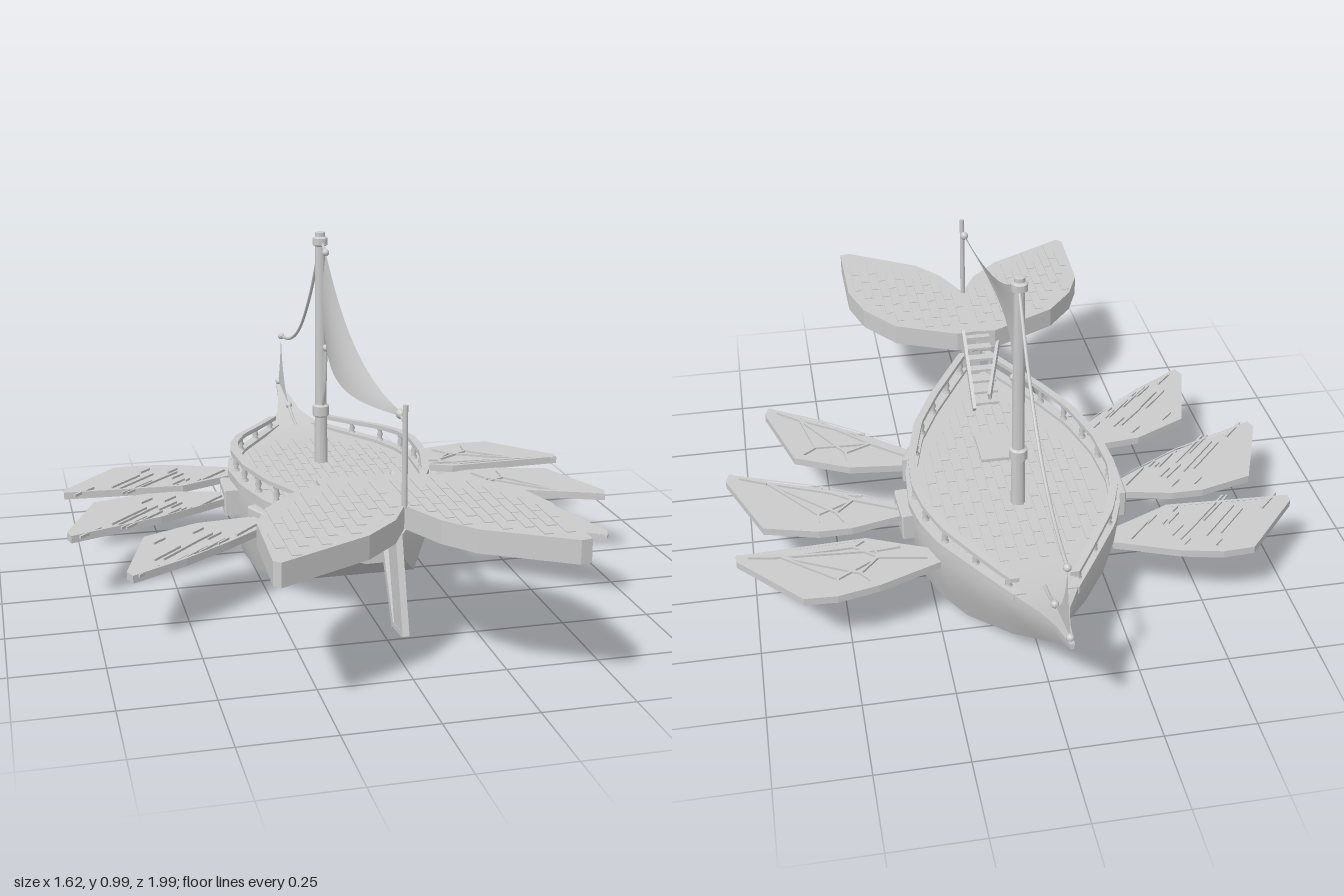
import * as THREE from 'three';
import { toCreasedNormals } from 'three/addons/utils/BufferGeometryUtils.js';

const grey = new THREE.MeshStandardMaterial({ color: 0xcccccc });
const cloth = new THREE.MeshStandardMaterial({ color: 0xcccccc, side: THREE.DoubleSide });
const V = (x, y, z) => new THREE.Vector3(x, y, z);

// Hull stations, stern to bow: z, half width, half width of the bottom, sheer height, keel height
const stations = [
  [0.44, 0.05, 0.045, 0.262, 0.2], [0.37, 0.09, 0.075, 0.262, 0.185], [0.2, 0.185, 0.15, 0.262, 0.085],
  [0.06, 0.25, 0.2, 0.262, 0.018], [-0.1, 0.29, 0.245, 0.262, 0], [-0.25, 0.3, 0.26, 0.262, 0],
  [-0.35, 0.283, 0.225, 0.262, 0], [-0.45, 0.245, 0.17, 0.262, 0.005], [-0.6, 0.15, 0.07, 0.262, 0.05],
  [-0.7, 0.085, 0.02, 0.268, 0.11], [-0.8, 0.04, 0.01, 0.29, 0.185], [-0.9, 0.018, 0.006, 0.325, 0.27],
  [-1, 0.006, 0.004, 0.35, 0.335]];

function halfWidth(z) {
  let i = 0;
  while (i < stations.length - 2 && stations[i + 1][0] > z) i++;
  const [a, b] = [stations[i], stations[i + 1]];
  return THREE.MathUtils.mapLinear(z, a[0], b[0], a[1], b[1]);
}

// Skin over rings that run anticlockwise and step towards -z, closed at both ends
function loft(rings, crease = 0.6) {
  const n = rings[0].length, pos = rings.flat().flatMap((p) => [p.x, p.y, p.z]), index = [];
  for (let i = 0; i < rings.length - 1; i++) for (let j = 0; j < n; j++) {
    const a = i * n + j, b = i * n + (j + 1) % n;
    index.push(a, a + n, b, b, a + n, b + n);
  }
  const end = (rings.length - 1) * n;
  for (let j = 1; j < n - 1; j++) index.push(0, j, j + 1, end, end + j + 1, end + j);
  const g = new THREE.BufferGeometry();
  g.setAttribute('position', new THREE.Float32BufferAttribute(pos, 3));
  g.setIndex(index);
  return toCreasedNormals(g, crease);
}

// Strip of rectangular section following the hull edge
function edgeStrip(z0, z1, inner, outer, low, high) {
  const rings = [];
  for (let i = 0; i <= 40; i++) {
    const z = z0 + (z1 - z0) * i / 40, w = halfWidth(z), drop = 0.025 * THREE.MathUtils.smoothstep(-z, 0.25, 0.7);
    const k = low > 0.3 ? drop : 0, a = Math.max(w - inner, 0.005), b = w - outer;
    rings.push([V(a, low - k, z), V(b, low - k, z), V(b, high - k, z), V(a, high - k, z)]);
  }
  return loft(rings);
}

const toShape = (pts) => new THREE.Shape(pts.map(([x, z]) => new THREE.Vector2(x, -z)));

// Plan outline (x, z) raised from height y by h
function slab(shape, y, h) {
  const g = new THREE.ExtrudeGeometry(shape, { depth: h, bevelEnabled: false });
  return g.rotateX(-Math.PI / 2).translate(0, y, 0);
}

function inside(pts, x, z) {
  let hit = false;
  pts.forEach(([x1, z1], i) => {
    const [x2, z2] = pts[(i + 1) % pts.length];
    if ((z1 > z) !== (z2 > z) && x < x1 + (z - z1) / (z2 - z1) * (x2 - x1)) hit = !hit;
  });
  return hit;
}

export function createModel() {
  const model = new THREE.Group();
  const add = (name, geo, parent = model, mat = grey) => {
    const m = new THREE.Mesh(geo, mat);
    m.name = name;
    parent.add(m);
    return m;
  };
  const group = (name, parent = model) => {
    const g = new THREE.Group();
    g.name = name;
    parent.add(g);
    return g;
  };
  const bar = (name, a, b, w, h = w, parent = model) => {
    const m = add(name, new THREE.BoxGeometry(w, h, a.distanceTo(b)), parent);
    m.position.copy(a).lerp(b, 0.5);
    m.lookAt(b);
    return m;
  };
  const rope = (name, pts, r = 0.005) =>
    add(name, new THREE.TubeGeometry(new THREE.CatmullRomCurve3(pts), 24, r, 6));
  const knot = (x, y, z, r = 0.011) => add('knot', new THREE.SphereGeometry(r, 10, 8)).position.set(x, y, z);

  // Staggered planks that fit inside an outline
  const planks = (name, pts, y) => {
    const g = group(name), w = 0.028, l = 0.11;
    for (let i = -15; i <= 15; i++) for (let j = -9; j < 11; j++) {
      const x = i * w, z = j * l + (i & 1 ? l / 2 : 0);
      const fits = [-0.5, 0.5].every((s) => [-0.5, 0.5].every((t) => inside(pts, x + s * w, z + t * l)));
      if (fits) add('plank', new THREE.BoxGeometry(w - 0.004, 0.005, l - 0.004), g).position.set(x, y, z);
    }
  };

  // Hull
  add('hull', loft(stations.map(([z, w, b, s, k]) => {
    const side = [[b, k], [b + (w - b) * 0.65, k + (s - k) * 0.4], [w, k + (s - k) * 0.8], [w * 0.985, s]];
    return [...side.map(([x, y]) => V(x, y, z)), ...side.reverse().map(([x, y]) => V(-x, y, z))];
  })));

  // Deck
  const edge = stations.filter((s) => s[0] < 0.43 && s[0] > -0.69).map(([z, w]) => [w - 0.03, z]);
  planks('deckPlanks', [...edge, ...edge.map(([x, z]) => [-x, z]).reverse()], 0.262);
  add('hatch', new THREE.BoxGeometry(0.13, 0.016, 0.13)).position.set(0, 0.266, -0.02);

  // Gunwales, railings, oar fins: built on the left, mirrored to the right
  const baluster = new THREE.LatheGeometry([[0.011, 0], [0.011, 0.01], [0.006, 0.016], [0.01, 0.03], [0.006, 0.045],
    [0.01, 0.054], [0.01, 0.062]].map(([x, y]) => new THREE.Vector2(x, y)), 8);
  const fins = [
    [[0.243, -0.455], [0.418, -0.524], [0.534, -0.55], [0.624, -0.545], [0.794, -0.354], [0.794, -0.328],
      [0.434, -0.312], [0.328, -0.36], [0.243, -0.397]],
    [[0.3, -0.222], [0.466, -0.26], [0.56, -0.26], [0.714, -0.217], [0.81, 0.03], [0.8, 0.063],
      [0.534, -0.042], [0.413, -0.11], [0.3, -0.175]],
    [[0.25, 0.016], [0.444, 0.037], [0.603, 0.115], [0.677, 0.37], [0.664, 0.405],
      [0.508, 0.31], [0.376, 0.21], [0.235, 0.09]]];
  const plate = (w, h) => [[-w, -h], [w, -h], [w, h], [-w, h]];

  for (const s of [1, -1]) {
    const side = group(s > 0 ? 'leftSide' : 'rightSide');
    side.scale.x = s;
    add('gunwale', edgeStrip(0.44, -0.7, 0.03, -0.003, 0.25, 0.272), side);
    add('handrail', edgeStrip(0.43, -0.68, 0.03, 0.006, 0.32, 0.333), side);
    for (let i = 0; i < 11; i++) {
      const z = 0.41 - i * 0.107, m = add('baluster', baluster, side);
      m.position.set(halfWidth(z) - 0.018, 0.268, z);
      m.scale.y = 0.9 - 0.38 * THREE.MathUtils.smoothstep(-z, 0.25, 0.7);
    }
    fins.forEach((pts) => {
      const fin = group('oarFin', side), n = pts.length;
      const root = V((pts[0][0] + pts[n - 1][0]) / 2, 0.205, (pts[0][1] + pts[n - 1][1]) / 2);
      const tipAt = pts.reduce((best, p, i) => (Math.hypot(p[0] - root.x, p[1] - root.z)
        > Math.hypot(pts[best][0] - root.x, pts[best][1] - root.z) ? i : best), 0);
      const tip = V(pts[tipAt][0], 0.205, pts[tipAt][1]);
      const c = root.clone().lerp(tip, 0.5);
      const inner = pts.map(([x, z]) => [c.x + (x - c.x) * 0.88, c.z + (z - c.z) * 0.84]);
      add('finBlade', slab(toShape(pts), 0.188, 0.014), fin);
      const rim = toShape(pts);
      rim.holes.push(toShape(inner));
      add('finRim', slab(rim, 0.202, 0.008), fin);
      // Ribs outline a long central panel
      const a = root.clone().lerp(tip, 0.3), b = root.clone().lerp(tip, 0.78);
      bar('finSpine', root, a, 0.01, 0.008, fin);
      bar('finSpine', b, tip, 0.01, 0.008, fin);
      for (const i of [1, 2, n - 2, n - 3]) {
        const p = V(pts[i][0], 0.205, pts[i][1]).lerp(c, 0.45);
        bar('finRib', a, p, 0.007, 0.007, fin);
        bar('finRib', p, b, 0.007, 0.007, fin);
        bar('finRib', p, V(pts[i][0], 0.205, pts[i][1]).lerp(c, 0.08), 0.007, 0.007, fin);
      }
    });
    // Oarlocks around the fin roots
    for (const [x, z, turn] of [[0.27, -0.205, -0.05], [0.21, 0.045, 0.42]]) {
      const ring = toShape(plate(0.062, 0.035));
      ring.holes.push(toShape(plate(0.042, 0.017)));
      const g = new THREE.ExtrudeGeometry(ring, { depth: 0.055, bevelSize: 0.004, bevelThickness: 0.004, bevelSegments: 1 });
      const m = add('oarlock', g.rotateY(Math.PI / 2), side);
      m.position.set(x, 0.2, z);
      m.rotation.y = -turn;
    }
    // Stair stringer
    bar('stairStringer', V(0.04, 0.27, 0.19), V(0.04, 0.43, 0.4), 0.01, 0.025, side);
  }
  for (let i = 0; i < 7; i++)
    add('stairTread', new THREE.BoxGeometry(0.08, 0.008, 0.028)).position.set(0, 0.285 + i * 0.022, 0.21 + i * 0.029);

  // Tail platform of two lobes
  const lobes = [
    [[0, 0.39], [0.06, 0.385], [0.245, 0.466], [0.333, 0.587], [0.37, 0.714], [0.37, 0.985], [0.34, 0.99],
      [0.127, 0.862], [0.058, 0.777], [0, 0.65]],
    [[0, 0.39], [-0.06, 0.385], [-0.26, 0.487], [-0.344, 0.587], [-0.386, 0.688], [-0.397, 0.952], [-0.38, 0.968],
      [-0.14, 0.84], [-0.05, 0.75], [0, 0.65]]];
  for (const pts of lobes) {
    add('tailLobe', slab(toShape(pts), 0.37, 0.062));
    planks('tailPlanks', pts, 0.432);
  }

  // Rudder and its struts
  const blade = new THREE.Shape([[0.59, 0.375], [0.5, 0.375], [0.6, 0.08], [0.68, 0.088]].map(([z, y]) => new THREE.Vector2(z, y)));
  add('rudderBlade', new THREE.ExtrudeGeometry(blade, { depth: 0.018, bevelEnabled: false })
    .rotateY(-Math.PI / 2).translate(0.009, 0, 0));
  bar('rudderPost', V(0, 0.375, 0.405), V(0, 0.075, 0.585), 0.02);
  bar('rudderFoot', V(0, 0.082, 0.575), V(0, 0.09, 0.67), 0.02, 0.014);
  bar('rudderBrace', V(0, 0.37, 0.505), V(0, 0.29, 0.43), 0.016);
  bar('sternPost', V(0, 0.2, 0.425), V(0, 0.38, 0.425), 0.03, 0.03);

  // Mast with collar and cap
  const mast = [[0.021, 0.26], [0.019, 0.41], [0.026, 0.415], [0.026, 0.445], [0.018, 0.45], [0.015, 0.94], [0.023, 0.945],
    [0.023, 0.965], [0.015, 0.97], [0.015, 0.982], [0, 0.986]].map(([x, y]) => new THREE.Vector2(x, y));
  add('mast', toCreasedNormals(new THREE.LatheGeometry(mast, 16), 0.6)).position.set(-0.003, 0, -0.29);
  add('sternPole', new THREE.CylinderGeometry(0.007, 0.008, 0.27, 8)).position.set(0, 0.56, 0.65);

  // Main sail, bellied to one side
  const sail = new THREE.PlaneGeometry(1, 1, 24, 10), p = sail.attributes.position;
  for (let i = 0; i < p.count; i++) {
    const u = p.getX(i) + 0.5, v = p.getY(i) + 0.5, arch = Math.sin(Math.PI * u);
    const top = 0.667 + 0.263 * Math.pow(1 - u, 1.9), low = 0.645 + 0.01 * u - 0.03 * arch;
    p.setXYZ(i, -0.045 * arch * (1 - 0.7 * v) - 0.01 * Math.sin(Math.PI * v) * (1 - u), low + (top - low) * v, -0.23 + 0.84 * u);
  }
  sail.computeVertexNormals();
  add('mainSail', sail, model, cloth);

  // Bow sail
  const jib = new THREE.Shape();
  jib.moveTo(-0.925, 0.525);
  jib.quadraticCurveTo(-0.91, 0.37, -0.8, 0.31);
  jib.lineTo(-0.98, 0.352);
  jib.quadraticCurveTo(-0.945, 0.42, -0.925, 0.525);
  add('bowSail', new THREE.ShapeGeometry(jib).rotateY(-Math.PI / 2), model, cloth);

  // Rigging
  rope('forestay', [V(0, 0.96, -0.295), V(0, 0.77, -0.44), V(0, 0.62, -0.61), V(0, 0.55, -0.77), V(0, 0.525, -0.92)]);
  rope('sailSheet', [V(0, 0.64, -0.23), V(0, 0.52, -0.245), V(0, 0.43, -0.285)]);
  rope('sailHalyard', [V(0, 0.93, -0.23), V(0, 0.955, -0.285)]);
  rope('sailOuthaul', [V(0, 0.66, 0.6), V(0, 0.645, 0.65)]);
  rope('bowSheet', [V(0, 0.31, -0.8), V(0, 0.285, -0.74), V(0, 0.272, -0.68)]);
  knot(0, 0.66, 0.605, 0.013);
  [[0.93, -0.23], [0.64, -0.23], [0.525, -0.922], [0.31, -0.8], [0.35, -0.975]].forEach(([y, z]) => knot(0, y, z));
  return model;
}
